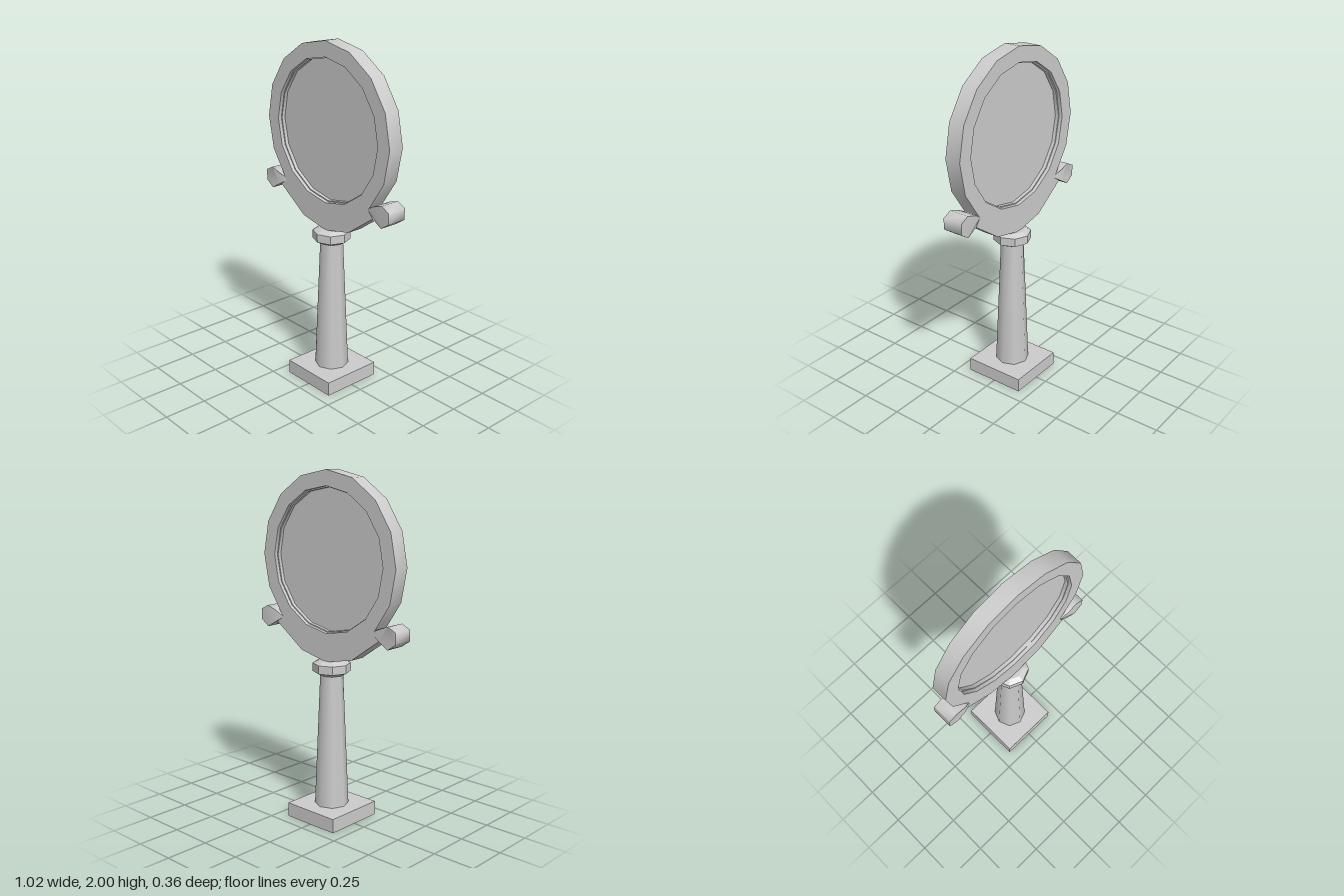
import * as THREE from 'three';
import { toCreasedNormals } from 'three/addons/utils/BufferGeometryUtils.js';

const CENTER_Y = 1.507;
const SIDES = 16;

export function createModel() {
  const model = new THREE.Group();
  const grey = new THREE.MeshStandardMaterial({ color: 0xcccccc });
  const greyFlat = new THREE.MeshStandardMaterial({ color: 0xcccccc, flatShading: true });
  const greyDouble = new THREE.MeshStandardMaterial({ color: 0xcccccc, side: THREE.DoubleSide });

  const add = (name, geometry, material = grey) => {
    const mesh = new THREE.Mesh(geometry, material);
    mesh.name = name;
    model.add(mesh);
  };

  // Point of a regular polygon around the mirror centre, counted counter-clockwise from the top
  const ringPoint = (radius, i) => {
    const a = (i / SIDES) * Math.PI * 2;
    return new THREE.Vector2(-Math.sin(a) * radius, CENTER_Y + Math.cos(a) * radius);
  };
  const polygon = (radius) => Array.from({ length: SIDES }, (_, i) => ringPoint(radius, i));
  const points = (list) => list.map(([x, y]) => new THREE.Vector2(x, y));

  // Extrusion centred on z = 0
  const slab = (shape, halfDepth) => {
    const g = new THREE.ExtrudeGeometry(shape, { depth: halfDepth * 2, bevelEnabled: false });
    return g.translate(0, 0, -halfDepth);
  };

  // Plinth: a box without its underside (face group 3)
  const plinth = new THREE.BoxGeometry(0.356, 0.082, 0.363).translate(0, 0.041, 0);
  const index = Array.from(plinth.index.array);
  index.splice(18, 6);
  plinth.setIndex(index);
  plinth.clearGroups();
  add('plinth', plinth, greyDouble);

  // Tapered eight-sided column
  add('column', new THREE.CylinderGeometry(0.065, 0.098, 0.79, 8).translate(0, 0.47, 0));

  // Octagonal collar between column and mirror
  const collarProfile = points([[0, 0.857], [0.068, 0.857], [0.108, 0.878], [0.108, 0.926], [0.075, 0.942], [0, 0.942]]);
  add('collar', new THREE.LatheGeometry(collarProfile, 8), greyFlat);

  // Frame: upper part of a ring, widened below into a cradle with a round hole
  const outline = points([[-0.39, 1.118], [-0.19, 0.977], [0, 0.937], [0.19, 0.977], [0.39, 1.118]]);
  for (let i = -6; i <= 6; i++) outline.push(ringPoint(0.493, i));
  const frameShape = new THREE.Shape(outline);
  frameShape.holes.push(new THREE.Path(polygon(0.406)));
  add('frame', toCreasedNormals(slab(frameShape, 0.047), 0.5));

  // Thin lip stepped inside the frame
  const lipShape = new THREE.Shape(polygon(0.41));
  lipShape.holes.push(new THREE.Path(polygon(0.399)));
  add('lip', toCreasedNormals(slab(lipShape, 0.026), 0.5));

  // Mirror plate, recessed on both sides
  add('mirrorPlate', slab(new THREE.Shape(polygon(0.402)), 0.005));

  // Knobs: six-sided ends, thicker than the frame and tapering into it
  const knobPoints = [[0.34, 1.15], [0.39, 1.118], [0.455, 1.08], [0.508, 1.116], [0.508, 1.18], [0.455, 1.206], [0.39, 1.185], [0.35, 1.165]];
  for (const [side, name] of [[1, 'leftKnob'], [-1, 'rightKnob']]) {
    const shape = new THREE.Shape(points(knobPoints.map(([x, y]) => [side * x, y])));
    const knob = slab(shape, 0.06);
    const p = knob.getAttribute('position');
    for (let i = 0; i < p.count; i++) {
      if (Math.abs(p.getX(i)) < 0.37) p.setZ(i, Math.sign(p.getZ(i)) * 0.046);
    }
    add(name, toCreasedNormals(knob, 1.2));
  }

  return model;
}
